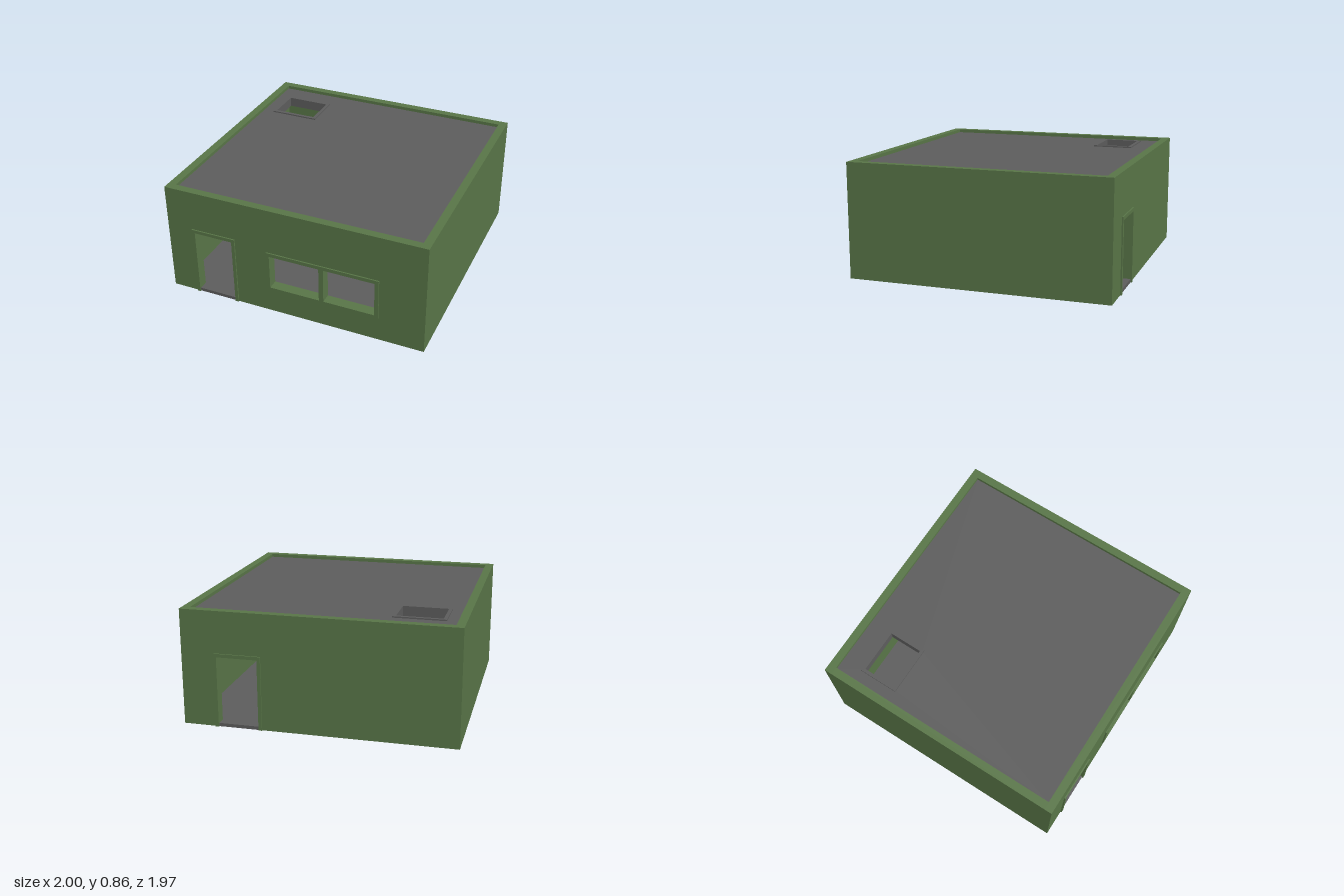
import * as THREE from 'three';

const W = 1, D = 0.975, H = 0.86, T = 0.06;      // half width, half depth, height, wall thickness
const RIM = 0.01, TRIM = 0.025;                   // how far trim stands proud, and its width
const FLOOR = 0.025, ROOF = 0.835, ROOF_T = 0.055;

const green = new THREE.MeshStandardMaterial({ color: 0x597648 });
green.name = 'wall green';
const grey = new THREE.MeshStandardMaterial({ color: 0x5d5d5d });
grey.name = 'slab grey';

function polygon(points, Kind = THREE.Shape) {
  return new Kind(points.map(([x, y]) => new THREE.Vector2(x, y)));
}

function rectangle(x0, x1, y0, y1, Kind = THREE.Shape) {
  return polygon([[x0, y0], [x1, y0], [x1, y1], [x0, y1]], Kind);
}

function part(name, geometry, material) {
  const mesh = new THREE.Mesh(geometry, material);
  mesh.name = name;
  return mesh;
}

function slab(name, shape, depth, z, material) {
  const geometry = new THREE.ExtrudeGeometry(shape, { depth, bevelEnabled: false });
  return part(name, geometry.translate(0, 0, z), material);
}

function box(name, x0, x1, y0, y1, z0, z1, material) {
  const geometry = new THREE.BoxGeometry(x1 - x0, y1 - y0, z1 - z0);
  geometry.translate((x0 + x1) / 2, (y0 + y1) / 2, (z0 + z1) / 2);
  return part(name, geometry, material);
}

// Wall outline with a notch for a door, whose outer trim spans x0 to x1
function wallShape(x0, x1) {
  const a = x0 + TRIM / 2, b = x1 - TRIM / 2, top = 0.54;
  return polygon([[-W, 0], [a, 0], [a, top], [b, top], [b, 0], [W, 0], [W, H], [-W, H]]);
}

// Door trim: two jambs and a head, with a sill at floor level
function doorway(name, x0, x1) {
  const group = new THREE.Group();
  group.name = name;
  const a = x0 + TRIM, b = x1 - TRIM, top = 0.55;
  const trim = polygon([[x0, 0], [a, 0], [a, top - TRIM], [b, top - TRIM], [b, 0], [x1, 0], [x1, top], [x0, top]]);
  group.add(slab('doorFrame', trim, T + 2 * RIM, D - T - RIM, green));
  group.add(box('doorSill', a, b, 0, FLOOR, D - T, D, grey));
  return group;
}

export function createModel() {
  const model = new THREE.Group();
  model.name = 'house';

  // Front: door and double window
  const front = new THREE.Group();
  front.name = 'frontSide';
  const frontShape = wallShape(-0.8, -0.45);
  frontShape.holes.push(rectangle(-0.188, 0.648, 0.202, 0.498, THREE.Path));
  front.add(slab('frontWall', frontShape, T, D - T, green));
  front.add(doorway('frontDoorway', -0.8, -0.45));

  const windowShape = rectangle(-0.2, 0.66, 0.19, 0.51);
  for (const [x0, x1] of [[-0.175, 0.21], [0.245, 0.63]]) {
    windowShape.holes.push(rectangle(x0, x1, 0.213, 0.483, THREE.Path));
  }
  front.add(slab('windowFrame', windowShape, T + 2 * RIM, D - T - RIM, green));
  model.add(front);

  // Back: one door, built facing forward and turned round
  const back = new THREE.Group();
  back.name = 'backSide';
  back.add(slab('backWall', wallShape(-0.76, -0.41), T, D - T, green));
  back.add(doorway('backDoorway', -0.76, -0.41));
  back.rotation.y = Math.PI;
  model.add(back);

  // Plain side walls
  for (const [name, x] of [['leftWall', W - T], ['rightWall', -W]]) {
    model.add(box(name, x, x + T, 0, H, -D + T, D - T, green));
  }

  // Floor slab between the walls
  model.add(box('floor', -W + T, W - T, 0, FLOOR, -D + T, D - T, grey));

  // Flat roof with a hatch opening; shape y becomes -z
  const hatch = [-0.83, -0.5, 0.477, 0.733];
  const grow = (e) => [hatch[0] - e, hatch[1] + e, hatch[2] - e, hatch[3] + e];
  const roofShape = rectangle(-W + T, W - T, -D + T, D - T);
  roofShape.holes.push(rectangle(...grow(TRIM / 2), THREE.Path));
  const roof = slab('roof', roofShape, ROOF_T, ROOF - ROOF_T, grey);

  const rimShape = rectangle(...grow(TRIM));
  rimShape.holes.push(rectangle(...hatch, THREE.Path));
  const hatchFrame = slab('hatchFrame', rimShape, ROOF_T + 2 * RIM, ROOF - ROOF_T - RIM, grey);

  for (const mesh of [roof, hatchFrame]) {
    mesh.geometry.rotateX(-Math.PI / 2);
    model.add(mesh);
  }

  return model;
}
